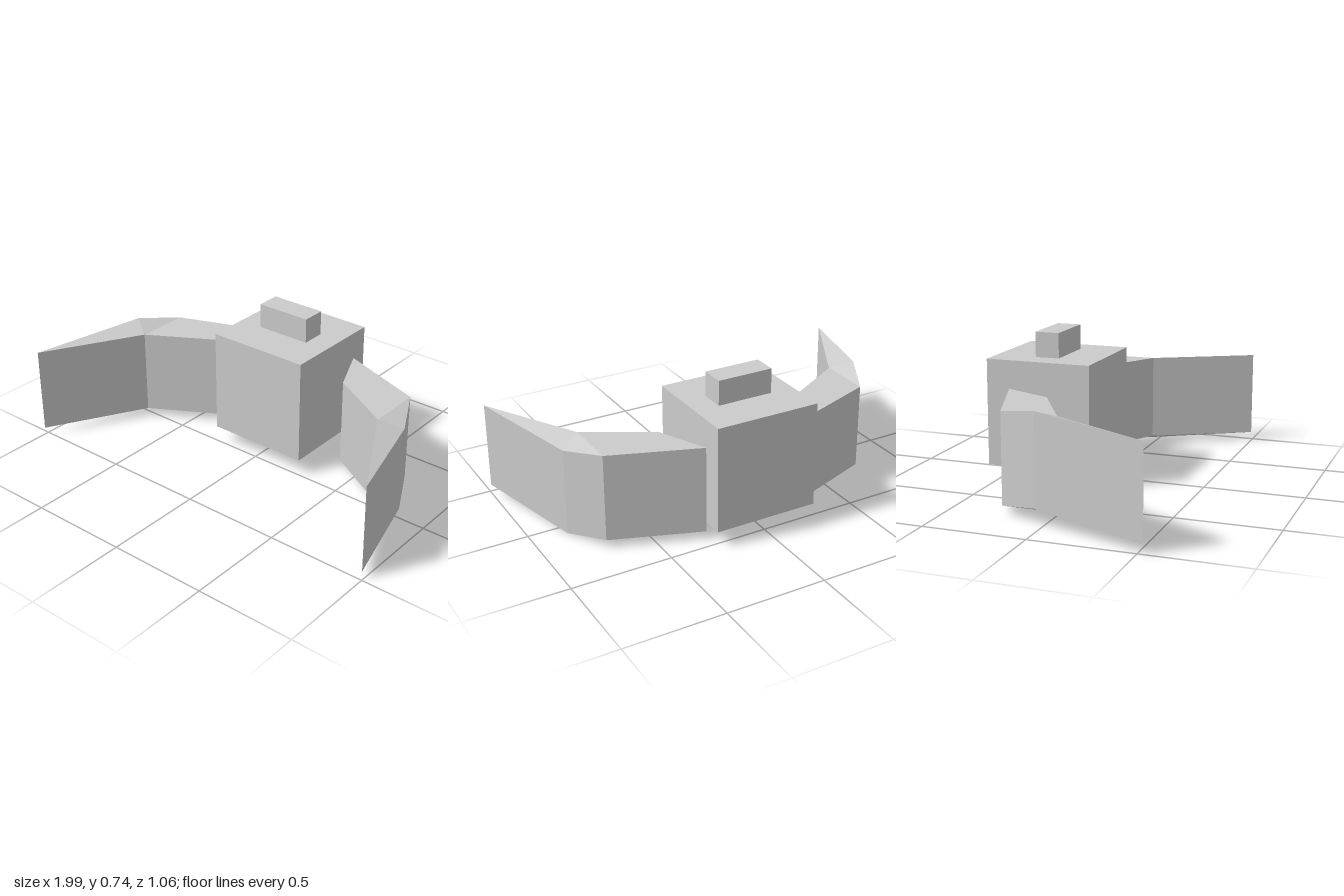
import * as THREE from 'three';

const grey = new THREE.MeshStandardMaterial({ color: 0xcccccc, flatShading: true });

function block(name, size, position) {
  const mesh = new THREE.Mesh(new THREE.BoxGeometry(...size), grey);
  mesh.name = name;
  mesh.position.set(...position);
  return mesh;
}

// Arm outline from above (x, z): shoulder, inner elbow points, tip, outer bend
const outline = [[0.28, -0.42], [0.39, -0.175], [0.72, 0.015], [0.995, 0.508], [0.825, -0.05], [0.72, -0.258]];
const capTriangles = [[0, 1, 2], [0, 2, 5], [5, 2, 4], [2, 3, 4]];
const OUTER_BEND = 4;

// side: +1 left, -1 right; the outer bend is shifted vertically by bendLift
function arm(name, side, zShift, bendLift) {
  const ring = (y) => outline.map(([x, z], i) =>
    [side * x, y + (i === OUTER_BEND ? bendLift : 0), z + zShift]);
  const bottom = ring(0.045);
  const top = ring(0.485);
  const positions = [];
  const face = (a, b, c) => positions.push(...a, ...(side > 0 ? b : c), ...(side > 0 ? c : b));

  // Top and bottom caps
  for (const [a, b, c] of capTriangles) {
    face(top[a], top[b], top[c]);
    face(bottom[a], bottom[c], bottom[b]);
  }
  // Walls
  for (let i = 0; i < outline.length; i++) {
    const j = (i + 1) % outline.length;
    face(bottom[i], bottom[j], top[j]);
    face(bottom[i], top[j], top[i]);
  }
  const geometry = new THREE.BufferGeometry();
  geometry.setAttribute('position', new THREE.Float32BufferAttribute(positions, 3));
  geometry.computeVertexNormals();
  const mesh = new THREE.Mesh(geometry, grey);
  mesh.name = name;
  return mesh;
}

export function createModel() {
  const model = new THREE.Group();
  model.name = 'clawedBody';
  model.add(
    block('body', [0.53, 0.532, 0.532], [0.009, 0.354, -0.266]),
    block('topKnob', [0.284, 0.125, 0.122], [0.009, 0.6825, -0.265]),
    arm('leftArm', 1, -0.016, -0.04),
    arm('rightArm', -1, 0.016, 0.04),
  );
  return model;
}
